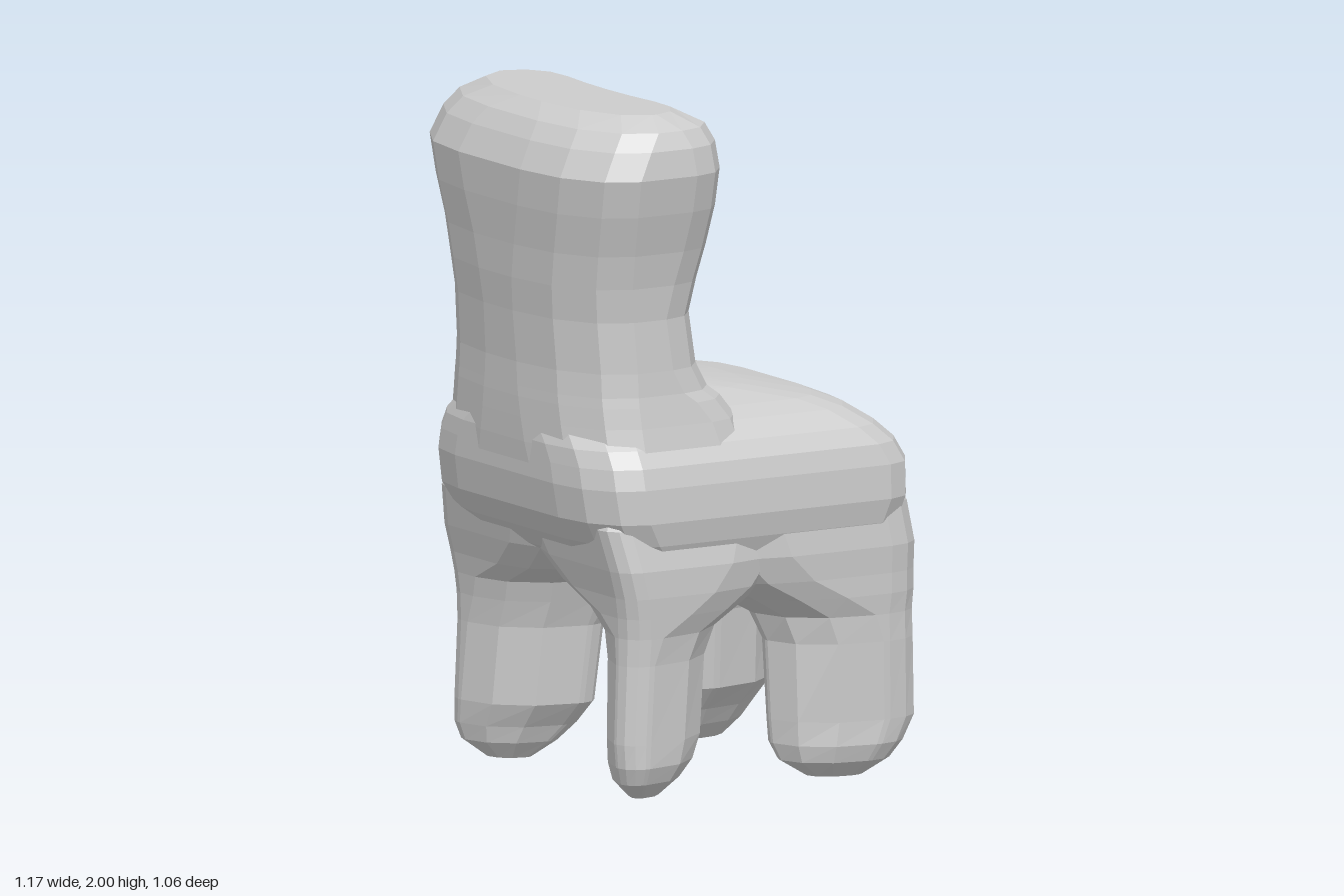
import * as THREE from 'three';

const material = new THREE.MeshStandardMaterial({ color: 0xcccccc, flatShading: true, side: THREE.DoubleSide });
const ARC = 3;  // facets per rounded corner
const SIDE = 4; // facets per straight side

// Rounded rectangle in x and z; radii [rx, rz] per corner, going (+x+z), (-x+z), (-x-z), (+x-z).
function section([y, x0, x1, z0, z1], radii) {
  const kx = Math.min(1, 0.95 * (x1 - x0) / (radii[0][0] + radii[1][0]));
  const kz = Math.min(1, 0.95 * (z1 - z0) / (radii[1][1] + radii[2][1]));
  const corners = radii.map(([fullX, fullZ], q) => {
    const rx = fullX * kx, rz = fullZ * kz;
    const cx = q === 0 || q === 3 ? x1 - rx : x0 + rx;
    const cz = q < 2 ? z1 - rz : z0 + rz;
    return Array.from({ length: ARC + 1 }, (_, i) => {
      const a = (q + i / ARC) * Math.PI / 2;
      return new THREE.Vector3(cx + rx * Math.cos(a), y, cz + rz * Math.sin(a));
    });
  });
  return corners.flatMap((arc, q) => {
    const next = corners[(q + 1) % 4][0];
    const side = [];
    for (let i = 1; i < SIDE; i++) side.push(arc[ARC].clone().lerp(next, i / SIDE));
    return [...arc, ...side];
  });
}

// Skin a stack of sections from bottom to top and close both ends.
function loft(name, rows, radii, bend = () => {}) {
  const rings = rows.map(row => section(row, radii));
  const n = rings[0].length;
  const points = rings.flat();
  points.forEach(bend);
  const index = [];
  for (let r = 0; r < rings.length - 1; r++) {
    for (let i = 0; i < n; i++) {
      const a = r * n + i, b = r * n + (i + 1) % n;
      index.push(a, a + n, b, b, a + n, b + n);
    }
  }
  const centre = ring => ring.reduce((sum, p) => sum.add(p), new THREE.Vector3()).divideScalar(n);
  const bottom = points.length, top = bottom + 1, last = (rings.length - 1) * n;
  points.push(centre(rings[0]), centre(rings[rings.length - 1]));
  for (let i = 0; i < n; i++) {
    const j = (i + 1) % n;
    index.push(bottom, i, j, top, last + j, last + i);
  }
  const geometry = new THREE.BufferGeometry().setFromPoints(points);
  geometry.setIndex(index);
  geometry.computeVertexNormals();
  const mesh = new THREE.Mesh(geometry, material);
  mesh.name = name;
  return mesh;
}

// Leg rows: y, inner x, outer x, inner z, outer z, measured from the centre.
const FRONT_LEG = [
  [0, 0.27, 0.43, 0.32, 0.42], [0.05, 0.19, 0.50, 0.27, 0.48], [0.10, 0.17, 0.54, 0.24, 0.50],
  [0.17, 0.165, 0.58, 0.21, 0.50], [0.40, 0.16, 0.575, 0.19, 0.505], [0.48, 0.13, 0.575, 0.16, 0.505],
  [0.54, 0.03, 0.58, 0.115, 0.51], [0.60, -0.08, 0.58, -0.02, 0.51], [0.68, -0.16, 0.58, -0.12, 0.515],
  [0.80, -0.20, 0.56, -0.18, 0.505], [0.92, -0.20, 0.50, -0.18, 0.46],
];
const REAR_LEG = [
  [0, 0.24, 0.35, 0.32, 0.42], [0.05, 0.17, 0.41, 0.27, 0.48], [0.10, 0.12, 0.425, 0.24, 0.50],
  [0.17, 0.09, 0.43, 0.21, 0.50], [0.40, 0.07, 0.42, 0.19, 0.50], [0.48, 0.03, 0.42, 0.16, 0.505],
  [0.54, -0.06, 0.425, 0.115, 0.51], [0.60, -0.14, 0.435, -0.02, 0.515], [0.68, -0.20, 0.455, -0.12, 0.515],
  [0.80, -0.24, 0.48, -0.18, 0.49], [0.92, -0.24, 0.43, -0.18, 0.45],
];

// Legs run diagonally towards the centre: tight radii along that diagonal, wide ones across it.
function leg(name, rows, tight, sx, sz) {
  const wide = [0.28, 0.23];
  const radii = sx === sz ? [tight, wide, tight, wide] : [wide, tight, wide, tight];
  const signed = rows.map(([y, xi, xo, zi, zo]) => {
    const inner = zi + (y > 0.1 && y < 0.5 ? 0.025 * sz : 0);
    const x = [sx * xi, sx * xo].sort((a, b) => a - b);
    const z = [sz * inner, sz * zo].sort((a, b) => a - b);
    return [y, ...x, ...z];
  });
  return loft(name, signed, radii);
}

export function createModel() {
  const model = new THREE.Group();
  model.name = 'chair';

  // Cushion-like seat, rounded underneath; rows are y, rear x, front x, half depth
  const mirrorZ = rows => rows.map(([y, x0, x1, z]) => [y, x0, x1, -z, z]);
  const seatRows = mirrorZ([
    [0.575, -0.16, 0.28, 0.26], [0.60, -0.28, 0.38, 0.37], [0.64, -0.37, 0.46, 0.44],
    [0.69, -0.435, 0.52, 0.485], [0.75, -0.485, 0.56, 0.51], [0.82, -0.525, 0.58, 0.525],
    [0.92, -0.54, 0.58, 0.52], [0.98, -0.54, 0.55, 0.505], [1.03, -0.54, 0.50, 0.475],
    [1.08, -0.53, 0.43, 0.42], [1.11, -0.51, 0.36, 0.36], [1.14, -0.48, 0.20, 0.24],
    [1.155, -0.45, 0.06, 0.16],
  ]);
  const front = [0.13, 0.21], rear = [0.16, 0.25];
  model.add(loft('seat', seatRows, [front, rear, rear, front]));

  // Backrest, waisted above the seat and swelling towards the top
  const backRows = mirrorZ([
    [0.90, -0.535, 0.06, 0.515], [1.02, -0.545, 0.05, 0.48], [1.09, -0.548, 0.03, 0.465],
    [1.15, -0.55, -0.015, 0.455], [1.18, -0.55, -0.055, 0.45], [1.25, -0.55, -0.09, 0.445],
    [1.40, -0.56, -0.11, 0.44], [1.50, -0.57, -0.09, 0.45], [1.60, -0.575, -0.07, 0.47],
    [1.72, -0.585, -0.06, 0.505], [1.83, -0.59, -0.06, 0.53], [1.91, -0.55, -0.07, 0.52],
    [1.96, -0.51, -0.09, 0.495], [2.0, -0.45, -0.16, 0.42],
  ]);
  const backFront = [0.15, 0.18], backRear = [0.19, 0.36];
  // The front face is slightly hollow across its middle
  const hollow = p => {
    if (p.y > 1.3 && p.x > -0.2) p.x -= 0.03 * Math.max(0, 1 - (p.z / 0.35) ** 2);
  };
  model.add(loft('backrest', backRows, [backFront, backRear, backRear, backFront], hollow));

  // Four legs flaring into arches under the seat
  for (const sz of [1, -1]) {
    const end = sz > 0 ? 'A' : 'B';
    model.add(leg('frontLeg' + end, FRONT_LEG, [0.12, 0.10], 1, sz));
    model.add(leg('rearLeg' + end, REAR_LEG, [0.07, 0.07], -1, sz));
  }
  return model;
}
